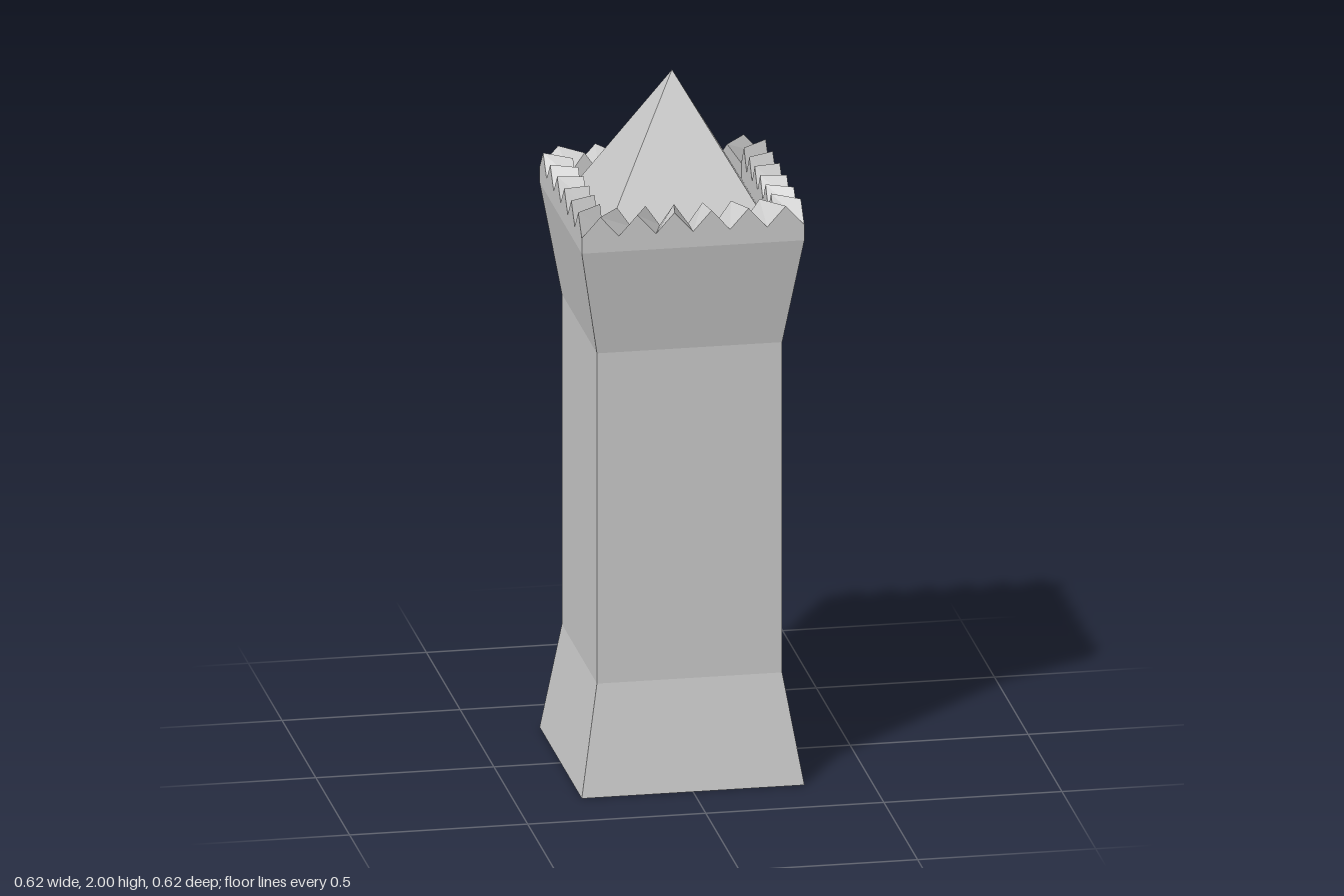
import * as THREE from 'three';

const HALF = 0.3125, INNER = 0.24, SHAFT = 0.26;   // half widths of the square sections
const RIM = 1.587, VALLEY = 1.632, PEAK = 1.69;    // heights of the crown
const STEPS = 12;                                  // slopes per side of the crown

const material = new THREE.MeshStandardMaterial({ color: 0xcccccc, flatShading: true });

function addPart(group, name, geometry) {
  const mesh = new THREE.Mesh(geometry, material);
  mesh.name = name;
  group.add(mesh);
  return mesh;
}

// Square ring with a zigzag top: outer wall, sloped teeth and inner wall
function crownGeometry() {
  const positions = [];
  const quad = (a, b, c, d) => {
    for (const p of [a, b, c, a, c, d]) positions.push(p.x, p.y, p.z);
  };
  for (let side = 0; side < 4; side++) {
    const point = (i, half, y) => new THREE.Vector3((2 * i / STEPS - 1) * half, y, half)
      .applyAxisAngle(new THREE.Vector3(0, 1, 0), side * Math.PI / 2);
    const height = (i) => (i % 2 ? PEAK : VALLEY);
    for (let i = 0; i < STEPS; i++) {
      const j = i + 1, hi = height(i), hj = height(j);
      quad(point(i, HALF, RIM), point(j, HALF, RIM), point(j, HALF, hj), point(i, HALF, hi));
      quad(point(i, HALF, hi), point(j, HALF, hj), point(j, INNER, hj), point(i, INNER, hi));
      quad(point(i, INNER, hi), point(j, INNER, hj), point(j, INNER, RIM), point(i, INNER, RIM));
    }
  }
  const geometry = new THREE.BufferGeometry();
  geometry.setAttribute('position', new THREE.Float32BufferAttribute(positions, 3));
  geometry.computeVertexNormals();
  return geometry;
}

export function createModel() {
  const tower = new THREE.Group();
  tower.name = 'tower';

  // Square shaft with flared foot and head, closed underneath
  const profile = [[0, 0], [HALF, 0], [SHAFT, 0.314], [SHAFT, 1.276], [HALF, RIM]]
    .map(([half, y]) => new THREE.Vector2(half * Math.SQRT2, y));
  addPart(tower, 'shaft', new THREE.LatheGeometry(profile, 4, Math.PI / 4));

  // Toothed crown around the top
  addPart(tower, 'crown', crownGeometry());

  // Pyramid roof rising from inside the crown
  const roofHeight = 2 - RIM;
  const roof = new THREE.ConeGeometry(INNER * Math.SQRT2, roofHeight, 4, 1, true);
  roof.rotateY(Math.PI / 4);
  addPart(tower, 'roof', roof).position.y = RIM + roofHeight / 2;

  return tower;
}
